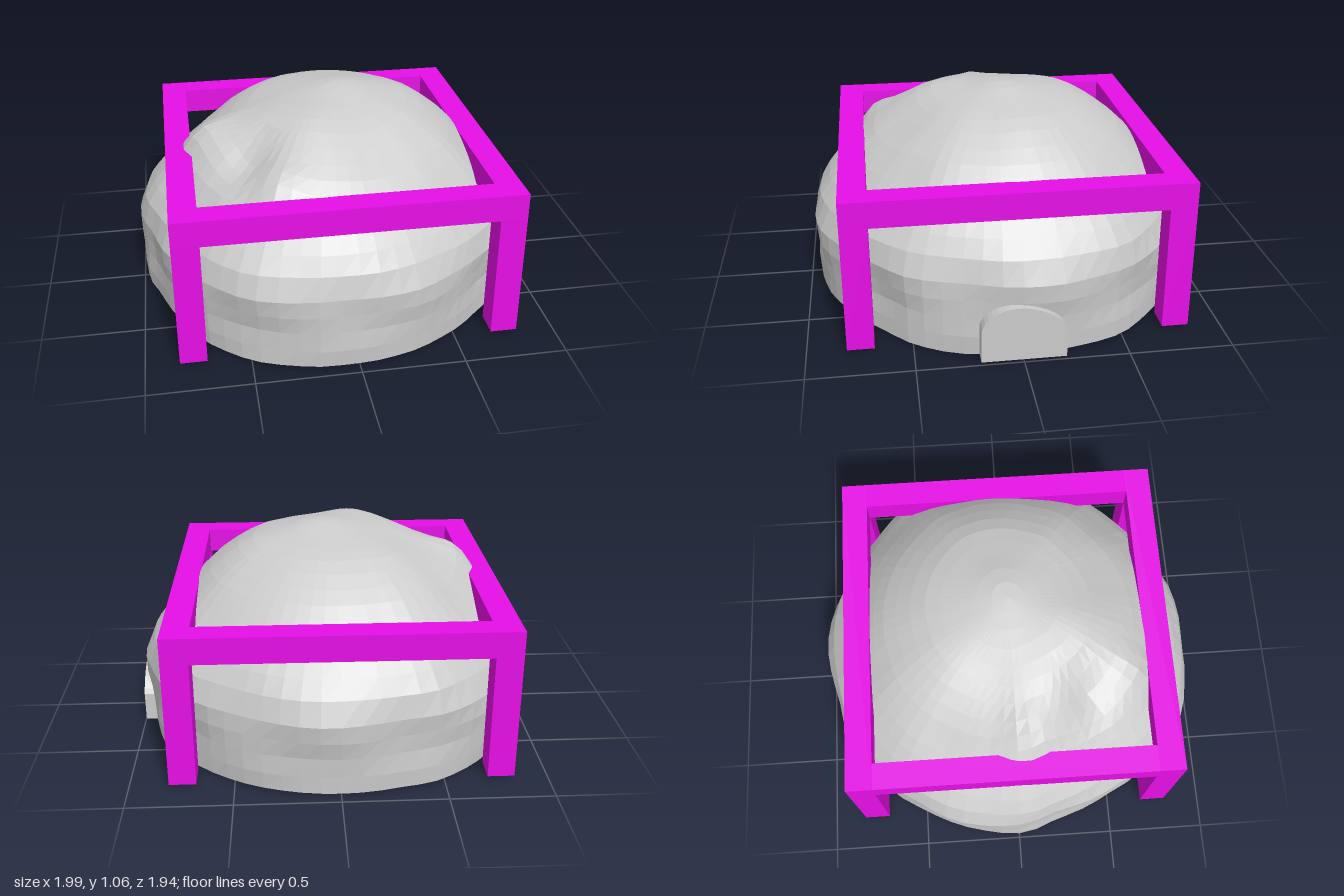
import * as THREE from 'three';

const grey = new THREE.MeshStandardMaterial({ color: 0xcccccc, flatShading: true });
const magenta = new THREE.MeshStandardMaterial({ color: 0xe60fe6 });
const BASE = 0.012;

// Outline radius every 15 degrees, turning from +x towards +z
const OUTLINE = [0.965, 0.955, 0.965, 0.935, 0.94, 0.955, 0.965, 0.985, 1.0, 0.99, 0.96, 0.957,
  1.0, 0.99, 0.985, 1.0, 1.0, 0.97, 0.97, 0.97, 0.975, 0.98, 1.0, 0.98];

// Dome profile: share of the outline radius, height
const PROFILE = [[0.98, BASE], [0.985, 0.1], [0.985, 0.2], [0.995, 0.29], [1, 0.38], [0.96, 0.49],
  [0.9, 0.57], [0.83, 0.645], [0.77, 0.71], [0.71, 0.77], [0.65, 0.825], [0.58, 0.875], [0.5, 0.925],
  [0.42, 0.965], [0.34, 0.99], [0.25, 1.01], [0.16, 1.025], [0.08, 1.035], [0, 1.04]];

// Lumps and hollows on the upper shell: x, z, height change, width
const LUMPS = [[0.1, -0.03, 0.022, 0.14], [-0.68, 0.1, 0.075, 0.15], [-0.35, 0.66, 0.06, 0.13],
  [-0.44, 0.38, -0.07, 0.12], [-0.4, -0.1, -0.03, 0.2], [0.15, 0.5, -0.035, 0.2],
  [-0.62, -0.35, -0.03, 0.18], [0.45, -0.1, 0.015, 0.15], [-0.1, 0.3, 0.015, 0.12]];

function outlineAt(a) {
  const t = a / (Math.PI * 2) * OUTLINE.length, i = Math.floor(t);
  const k = (1 - Math.cos((t - i) * Math.PI)) / 2;
  return THREE.MathUtils.lerp(OUTLINE[i % 24], OUTLINE[(i + 1) % 24], k);
}

function domePoint(a, [f, h]) {
  const r = f * outlineAt(a);
  // Gentle uneven swelling of the wall
  const wall = Math.sin(Math.min(1, h / 0.77) * Math.PI);
  const wobble = 1 + 0.008 * wall * (Math.sin(5 * a + 7 * h) + Math.sin(9 * a - 11 * h));
  const x = r * wobble * Math.cos(a), z = r * wobble * Math.sin(a);
  const upper = THREE.MathUtils.smoothstep(h, 0.55, 0.8);
  let y = h;
  for (const [lx, lz, amount, width] of LUMPS) {
    y += upper * amount * Math.exp(-((x - lx) ** 2 + (z - lz) ** 2) / (width * width));
  }
  // Slight sag of the rim near the doorway
  if (h === BASE) y -= BASE * Math.exp(-((a - 0.32) ** 2) / 0.02);
  return [x, y, z];
}

// Rocky dome shell with a closed floor
function makeDome() {
  const N = 64, rows = PROFILE.length, pos = [], index = [];
  for (const p of PROFILE) {
    for (let i = 0; i < N; i++) pos.push(...domePoint(i / N * Math.PI * 2, p));
  }
  const floor = pos.length / 3;
  pos.push(0, BASE, 0);
  for (let j = 0; j < rows - 1; j++) {
    for (let i = 0; i < N; i++) {
      const n = (i + 1) % N;
      const a = j * N + i, b = j * N + n, c = a + N, d = b + N;
      index.push(a, c, b);
      if (j < rows - 2) index.push(b, c, d);
    }
  }
  for (let i = 0; i < N; i++) index.push(floor, i, (i + 1) % N);
  const g = new THREE.BufferGeometry();
  g.setAttribute('position', new THREE.Float32BufferAttribute(pos, 3));
  g.setIndex(index);
  g.computeVertexNormals();
  const mesh = new THREE.Mesh(g, grey);
  mesh.name = 'rockDome';
  return mesh;
}

// Arched door slab on the +x side
function makeDoor() {
  const s = new THREE.Shape();
  s.moveTo(-0.2, BASE);
  s.lineTo(0.2, BASE);
  s.lineTo(0.2, 0.16);
  s.bezierCurveTo(0.17, 0.23, 0.07, 0.285, -0.03, 0.285);
  s.bezierCurveTo(-0.12, 0.285, -0.19, 0.23, -0.2, 0.17);
  const g = new THREE.ExtrudeGeometry(s, { depth: 0.16, bevelEnabled: false, curveSegments: 8 });
  g.rotateY(Math.PI / 2);
  g.translate(0.835, 0, 0);
  const mesh = new THREE.Mesh(g, grey);
  mesh.name = 'archedDoor';
  return mesh;
}

// Square frame of four beams on four posts
function makeFrame() {
  const frame = new THREE.Group();
  frame.name = 'squareFrame';
  const T = 0.13, half = 0.825, top = 0.77, c = half - T / 2;
  const bar = (name, w, h, d, x, y, z) => {
    const m = new THREE.Mesh(new THREE.BoxGeometry(w, h, d), magenta);
    m.position.set(x, y, z);
    m.name = name;
    frame.add(m);
  };
  const postH = top - T - BASE;
  for (const s of [-1, 1]) {
    bar(s > 0 ? 'frontBeam' : 'backBeam', half * 2, T, T, 0, top - T / 2, s * c);
    bar(s > 0 ? 'leftBeam' : 'rightBeam', T, T, half * 2 - T * 2, s * c, top - T / 2, 0);
    for (const t of [-1, 1]) bar('post', T, postH, T, s * c, BASE + postH / 2, t * c);
  }
  frame.position.set(-0.013, 0, -0.013);
  return frame;
}

export function createModel() {
  const model = new THREE.Group();
  model.name = 'domeHut';
  model.add(makeDome(), makeDoor(), makeFrame());
  return model;
}
